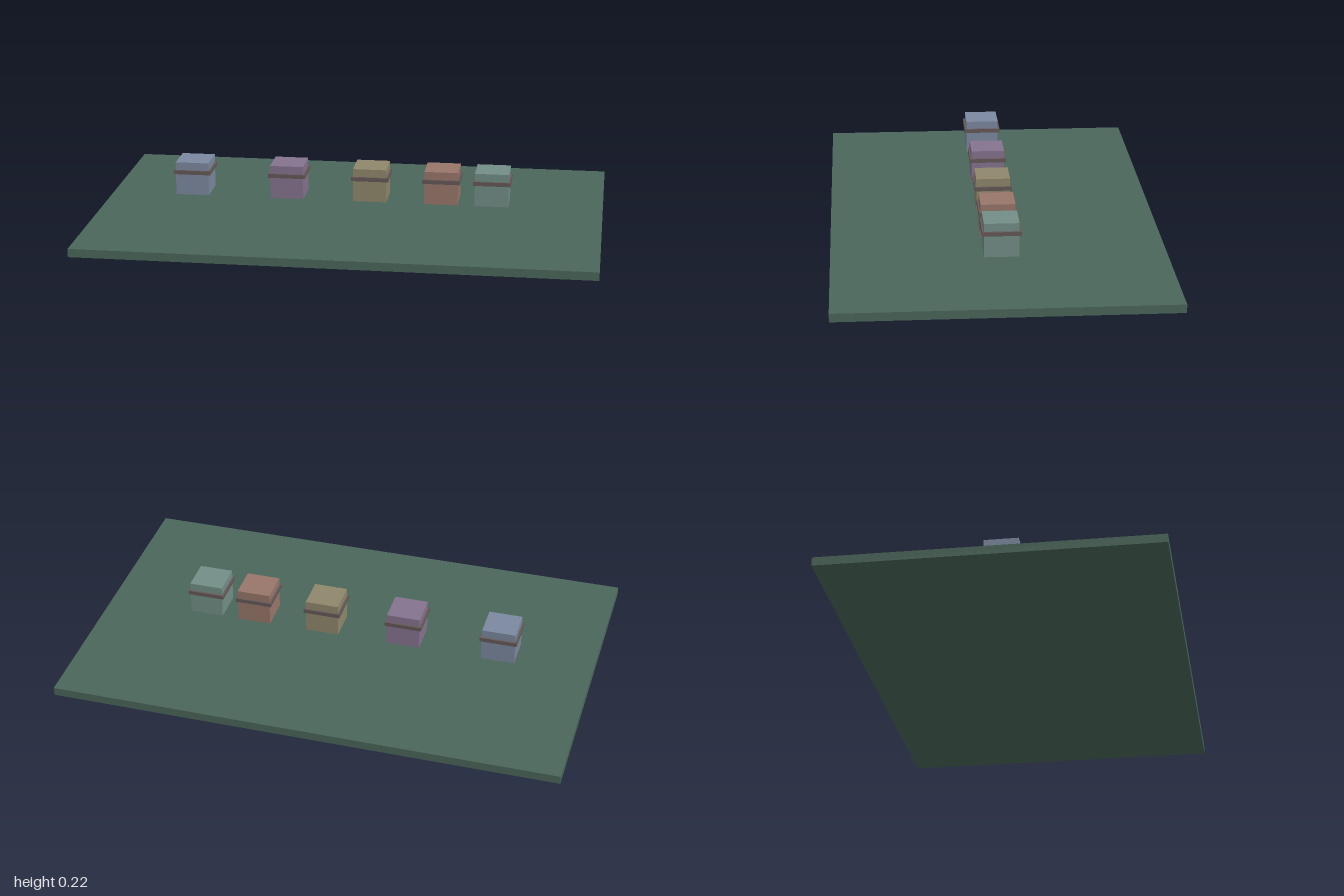
import * as THREE from 'three';

const material = (name, color) => {
  const m = new THREE.MeshStandardMaterial({ color });
  m.name = name;
  return m;
};

function addBox(parent, name, size, y, mat) {
  const mesh = new THREE.Mesh(new THREE.BoxGeometry(...size), mat);
  mesh.name = name;
  mesh.position.y = y;
  parent.add(mesh);
}

export function createModel() {
  const model = new THREE.Group();
  model.name = 'cratesOnBoard';

  // Flat base board
  addBox(model, 'baseBoard', [2, 0.033, 1.28], 0.0165, material('board green', 0x4a665a));

  // Row of floating crates, each wrapped by a thin square band
  const bandMaterial = material('band brown', 0x655858);
  const crates = [
    ['blue', -0.636, 0x7b889f],
    ['purple', -0.253, 0x85738f],
    ['olive', 0.08, 0x8f876b],
    ['rust', 0.364, 0x98766a],
    ['teal', 0.564, 0x738e87],
  ];
  for (const [name, x, color] of crates) {
    const crate = new THREE.Group();
    crate.name = `${name}Crate`;
    crate.position.x = x;
    addBox(crate, 'crateBody', [0.133, 0.133, 0.133], 0.15, material(`${name} crate`, color));
    addBox(crate, 'crateBand', [0.148, 0.016, 0.148], 0.177, bandMaterial);
    model.add(crate);
  }
  return model;
}
